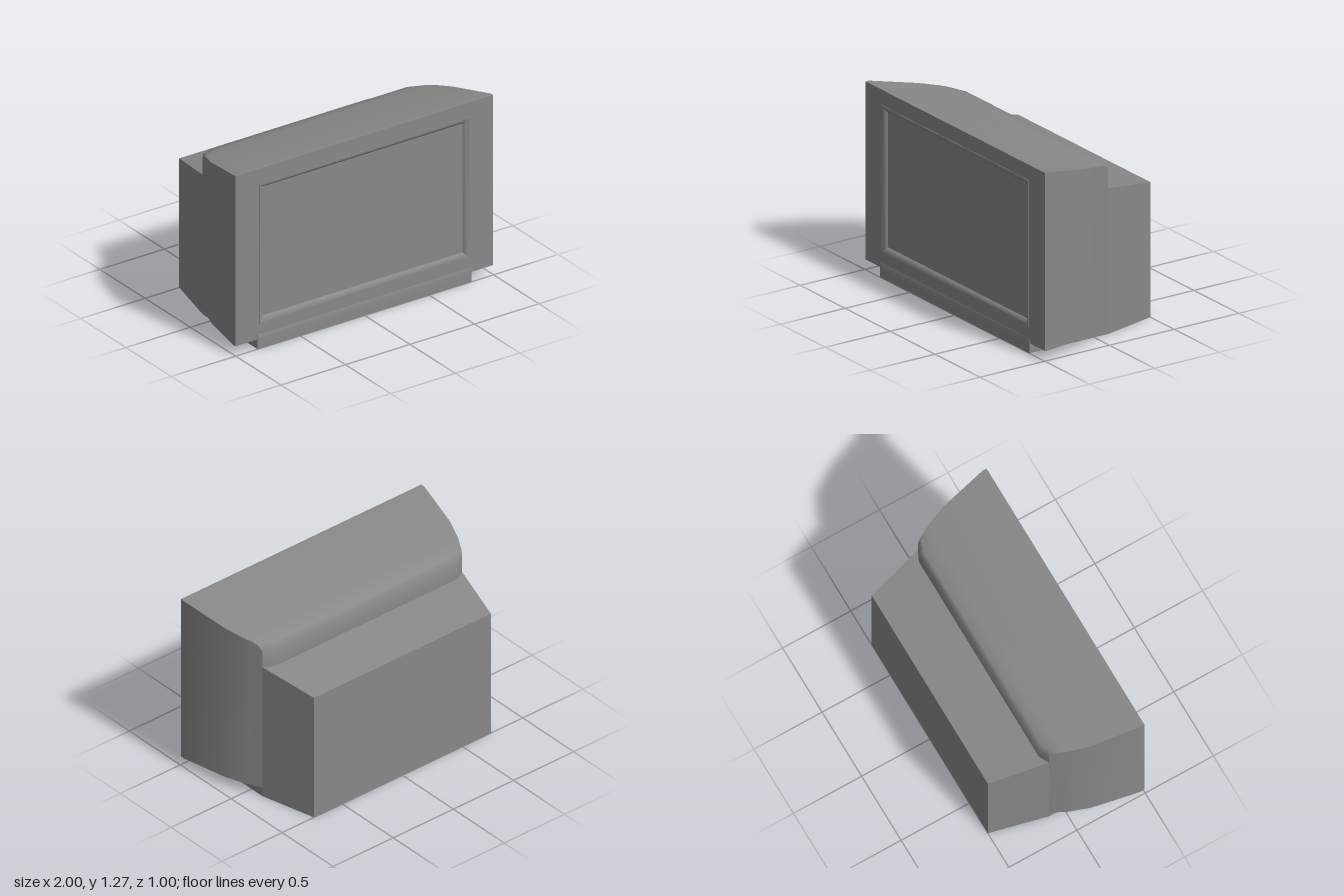
import * as THREE from 'three';
import { toCreasedNormals } from 'three/addons/utils/BufferGeometryUtils.js';

const FRONT = 0.495, BELLY = 0.067, BASE = 0.83;

// Collects quads (corners counter-clockwise seen from outside)
function quadBuilder() {
  const pos = [];
  return {
    quad(a, b, c, d) { pos.push(...a, ...b, ...c, ...a, ...c, ...d); },
    // the same quad on both sides of the model
    pair(a, b, c, d) {
      const m = (p) => [-p[0], p[1], p[2]];
      this.quad(a, b, c, d);
      this.quad(m(d), m(c), m(b), m(a));
    },
    build() {
      const g = new THREE.BufferGeometry();
      g.setAttribute('position', new THREE.Float32BufferAttribute(pos, 3));
      return toCreasedNormals(g, 0.7);
    },
  };
}

export function createModel() {
  const group = new THREE.Group();
  const casing = new THREE.MeshStandardMaterial({ color: 0x888888, side: THREE.DoubleSide });
  casing.name = 'grey casing';
  const add = (name, geometry) => {
    const mesh = new THREE.Mesh(geometry, casing);
    mesh.name = name;
    group.add(mesh);
  };

  // Side edge of the hood [x, y, z] and its profile across the middle [y, z]
  const edge = [
    [0.997, 1.275, FRONT], [1, 1.275, 0.47], [0.935, 1.208, 0.14], [0.885, 1.177, 0],
    [0.863, 1.167, -0.04], [0.845, 1.15, -0.08], [BASE, 1.11, -0.107], [BASE, 0.99, -0.107],
  ];
  const middle = [
    [1.275, FRONT], [1.275, 0.47], [1.211, 0.14], [1.185, 0],
    [1.175, -0.05], [1.15, -0.115], [1.11, -0.14], [0.984, -0.14],
  ];

  // Rounded hood
  const hood = quadBuilder();
  for (let i = 0; i < edge.length - 1; i++) {
    const a = [0.76, ...middle[i]], b = [0.76, ...middle[i + 1]];
    hood.quad([-a[0], a[1], a[2]], a, b, [-b[0], b[1], b[2]]);
    hood.pair(a, edge[i], edge[i + 1], b);
  }
  add('hood', hood.build());

  // Curved side walls, running on into the tapered rear
  const sides = quadBuilder();
  for (let i = 0; i < 6; i++) {
    const a = edge[i], b = edge[i + 1];
    sides.pair([a[0], BELLY, a[2]], [b[0], BELLY, b[2]], b, a);
  }
  const rear = [0.735, 0.917, -0.5], shoulder = edge[7];
  sides.pair([BASE, 0, -0.107], [0.735, 0, -0.5], rear, shoulder);
  add('sideWalls', sides.build());

  // Sloping rear deck, back wall and bottom
  const back = quadBuilder();
  const mx = (p) => [-p[0], p[1], p[2]];
  back.quad(mx(shoulder), shoulder, rear, mx(rear));
  back.quad([0.735, 0, -0.5], [-0.735, 0, -0.5], mx(rear), rear);
  back.quad([-0.735, 0, -0.5], [0.735, 0, -0.5], [BASE, 0, -0.107], [-BASE, 0, -0.107]);
  back.quad([-BASE, 0, -0.107], [BASE, 0, -0.107], [BASE, 0, 0.5], [-BASE, 0, 0.5]);
  add('rearHousing', back.build());

  // Underside of the overhanging cabinet and the plinth walls below it
  const under = quadBuilder();
  for (let i = 0; i < 6; i++) {
    const a = edge[i], b = edge[i + 1];
    under.pair([BASE, BELLY, a[2]], [BASE, BELLY, b[2]], [b[0], BELLY, b[2]], [a[0], BELLY, a[2]]);
  }
  under.pair([BASE, 0, FRONT], [BASE, 0, -0.107], [BASE, BELLY, -0.107], [BASE, BELLY, FRONT]);
  add('underside', under.build());

  // Rounded lip along the foot of the front
  const lip = quadBuilder();
  const lipProfile = [[0, 0.5], [0.06, 0.5], [0.09, 0.498], [0.1, FRONT]];
  for (let i = 0; i < 3; i++) {
    const [y0, z0] = lipProfile[i], [y1, z1] = lipProfile[i + 1];
    lip.quad([-BASE, y0, z0], [BASE, y0, z0], [BASE, y1, z1], [-BASE, y1, z1]);
    lip.pair([BASE, y0, z0], [BASE, y0, FRONT], [BASE, y1, FRONT], [BASE, y1, z1]);
  }
  add('frontLip', lip.build());

  // Rectangular rings lofted from [half width, bottom, top, z]
  const ringLoft = (rows) => {
    const q = quadBuilder();
    const corners = ([w, y0, y1, z]) => [[-w, y0, z], [w, y0, z], [w, y1, z], [-w, y1, z]];
    for (let i = 0; i < rows.length - 1; i++) {
      const o = corners(rows[i]), n = corners(rows[i + 1]);
      for (let k = 0; k < 4; k++) q.quad(o[k], o[(k + 1) % 4], n[(k + 1) % 4], n[k]);
    }
    return q.build();
  };
  add('frontPanel', ringLoft([[0.997, BELLY, 1.275, FRONT], [0.815, 0.175, 1.17, FRONT]]));
  add('screenFrame', ringLoft([
    [0.815, 0.175, 1.17, FRONT], [0.815, 0.175, 1.17, 0.499], [0.8, 0.19, 1.155, 0.499],
    [0.782, 0.208, 1.137, 0.485], [0.775, 0.215, 1.13, 0.476],
  ]));

  // Flat screen set into the frame
  const screen = new THREE.PlaneGeometry(1.55, 0.915);
  screen.translate(0, 0.6725, 0.476);
  add('screen', screen);

  return group;
}
